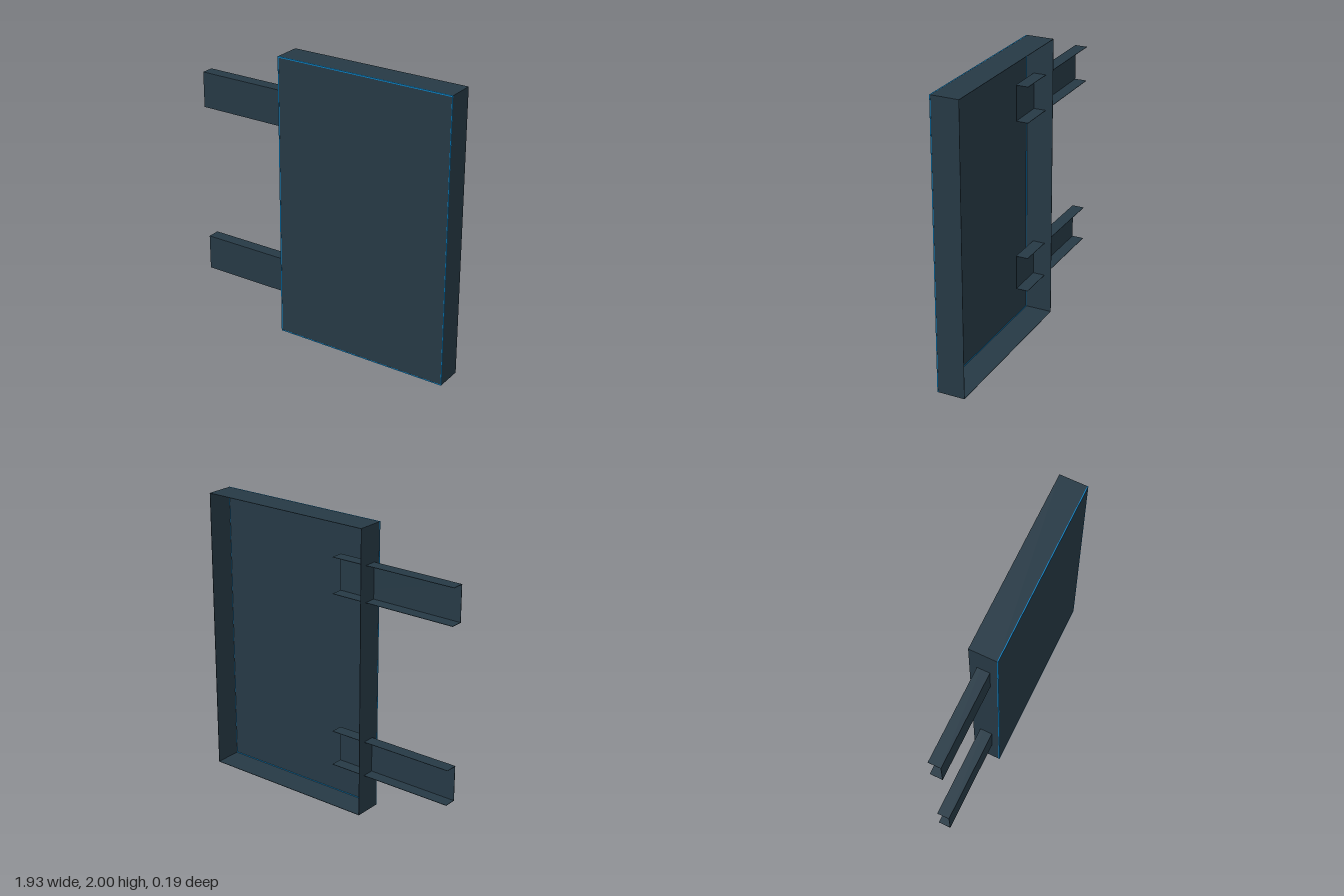
import * as THREE from 'three';

export function createModel() {
  const model = new THREE.Group();
  const slate = new THREE.MeshStandardMaterial({ color: 0x263945 });
  slate.name = 'dark slate';
  const blue = new THREE.MeshStandardMaterial({ color: 0x0a86cc });
  blue.name = 'edge blue';

  // Box given by its minimum and maximum corners
  function box(parent, name, mat, [x0, y0, z0], [x1, y1, z1]) {
    const mesh = new THREE.Mesh(new THREE.BoxGeometry(x1 - x0, y1 - y0, z1 - z0), mat);
    mesh.position.set((x0 + x1) / 2, (y0 + y1) / 2, (z0 + z1) / 2);
    mesh.name = name;
    parent.add(mesh);
  }

  const t = 0.003; // sheet thickness
  const L = -0.307, R = 0.965, H = 2, Z = 0.097;

  // Shallow tray, open at the back
  const tray = new THREE.Group();
  tray.name = 'tray';
  box(tray, 'frontPanel', slate, [L, 0, Z - t], [R, H, Z]);
  box(tray, 'rightWall', slate, [L, 0, -Z], [L + t, H, Z - t]);
  box(tray, 'leftWall', slate, [R - t, 0, -Z], [R, H, Z - t]);
  box(tray, 'bottomWall', slate, [L + t, 0, -Z], [R - t, t, Z - t]);
  box(tray, 'topWall', slate, [L + t, H - t, -Z], [R - t, H, Z - t]);
  model.add(tray);

  // Thin blue edging around the front panel
  const edging = new THREE.Group();
  edging.name = 'edging';
  const w = 0.007, e = 0.0006, zb = Z - 0.006, zf = Z + e;
  box(edging, 'rightEdge', blue, [L - e, 0, zb], [L + w, H, zf]);
  box(edging, 'leftEdge', blue, [R - 0.004, 0, zb], [R + e, H, zf]);
  box(edging, 'bottomEdge', blue, [L, 0, zb], [R, w, zf]);
  box(edging, 'topEdge', blue, [L, H - w, zb], [R, H + e, zf]);
  model.add(edging);

  // Two channel arms, open at the back, passing through the right wall
  const x0 = -0.967, x1 = -0.04, zBack = -0.045, zFront = 0.042;
  for (const [name, y0] of [['lowerArm', 0.275], ['upperArm', 1.498]]) {
    const y1 = y0 + 0.25;
    const arm = new THREE.Group();
    arm.name = name;
    box(arm, 'web', slate, [x0, y0, zFront - t], [x1, y1, zFront]);
    box(arm, 'lowerFlange', slate, [x0, y0, zBack], [x1, y0 + t, zFront - t]);
    box(arm, 'upperFlange', slate, [x0, y1 - t, zBack], [x1, y1, zFront - t]);
    model.add(arm);
  }

  return model;
}
